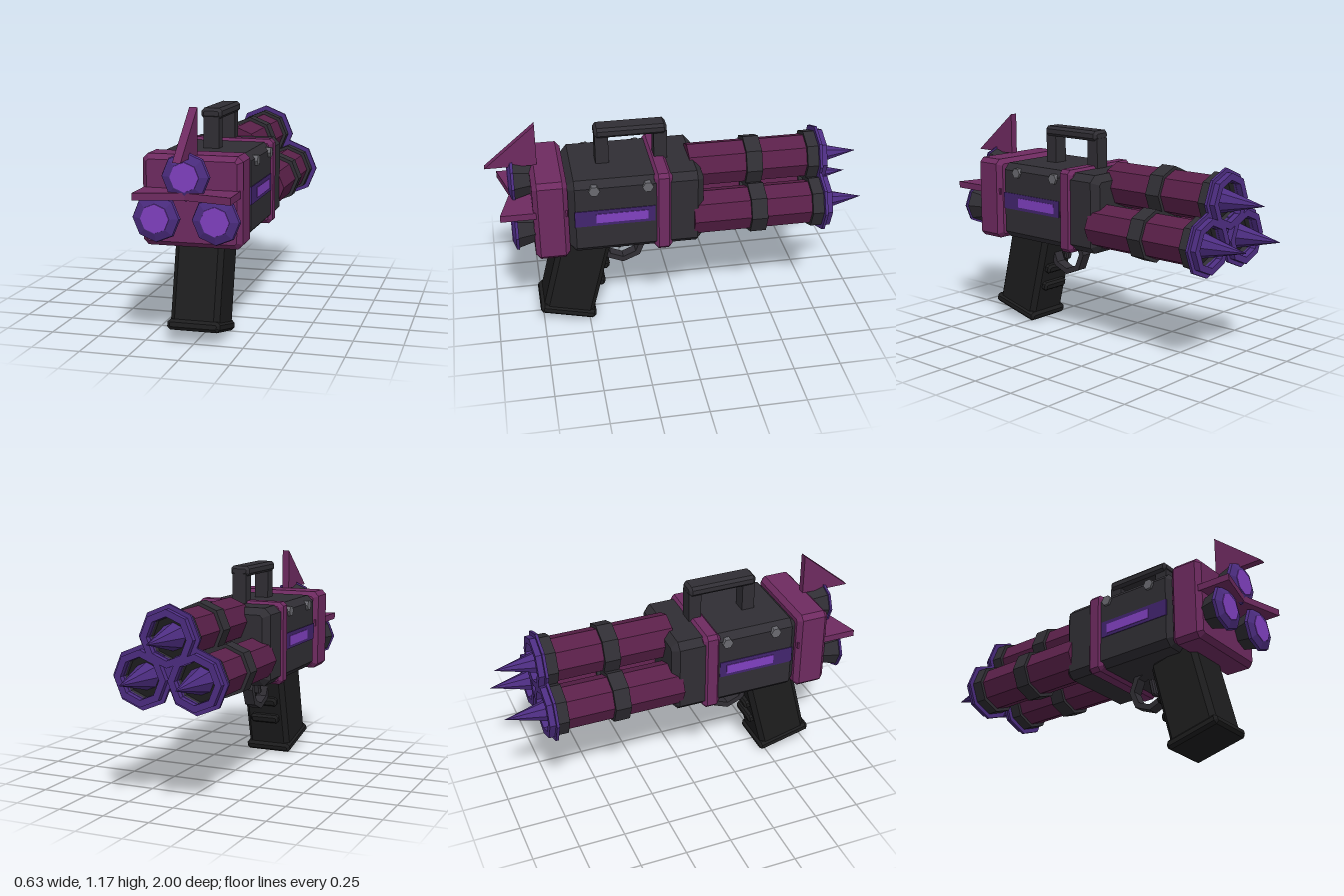
import * as THREE from 'three';

const mat = (color) => new THREE.MeshStandardMaterial({ color, flatShading: true });

export function createModel() {
  const root = new THREE.Group();
  const dark = mat(0x302e34), black = mat(0x1d1d1e), pink = mat(0x6e2a60), barrelPink = mat(0x5a2049);
  const violet = mat(0x4d2d82), glow = mat(0x8040c0), panelViolet = mat(0x42246e), steel = mat(0x6a6a70);

  const add = (name, geo, m, x = 0, y = 0, z = 0, parent = root) => {
    const mesh = new THREE.Mesh(geo, m);
    mesh.name = name;
    mesh.position.set(x, y, z);
    parent.add(mesh);
    return mesh;
  };

  // Box with every edge chamfered by c, centred on the origin
  const chamferBox = (w, h, d, c) => {
    const a = w / 2, b = h / 2;
    const pts = [[a, c - b], [a, b - c], [a - c, b], [c - a, b], [-a, b - c], [-a, c - b], [c - a, -b], [a - c, -b]];
    const shape = new THREE.Shape(pts.map(([x, y]) => new THREE.Vector2(x, y)));
    const geo = new THREE.ExtrudeGeometry(shape, {
      depth: d - 2 * c, bevelThickness: c, bevelSize: c, bevelOffset: -c, bevelSegments: 1,
    });
    return geo.translate(0, 0, c - d / 2);
  };

  // Eight-sided solid along z: radius r0 at z0, r1 at z1 (z1 > z0)
  const octagon = (r0, r1, z0, z1) =>
    new THREE.CylinderGeometry(r1, r0, z1 - z0, 8).rotateX(Math.PI / 2).translate(0, 0, (z0 + z1) / 2);

  // Eight-sided ring along z
  const octPoints = (r) => Array.from({ length: 8 }, (_, i) =>
    new THREE.Vector2(r * Math.cos(i * Math.PI / 4), r * Math.sin(i * Math.PI / 4)));
  const octRing = (r, hole, z0, z1) => {
    const shape = new THREE.Shape(octPoints(r));
    shape.holes.push(new THREE.Path(octPoints(hole)));
    return new THREE.ExtrudeGeometry(shape, { depth: z1 - z0, bevelEnabled: false }).translate(0, 0, z0);
  };

  // Body with its two pink collars
  add('body', chamferBox(0.48, 0.42, 0.71, 0.035), dark, 0, 0.723, 0.24);
  add('bodyBand', chamferBox(0.5, 0.45, 0.095, 0.02), pink, 0, 0.722, 0.1);
  add('endBlock', chamferBox(0.5, 0.45, 0.18, 0.025), pink, 0, 0.722, 0.684);

  // Side panels and bolts
  for (const s of [-1, 1]) {
    add('sidePanel', new THREE.BoxGeometry(0.01, 0.09, 0.42), panelViolet, s * 0.239, 0.725, 0.355);
    add('sideLight', new THREE.BoxGeometry(0.01, 0.052, 0.272), glow, s * 0.242, 0.723, 0.318);
    for (const z of [0.46, 0.183])
      add('bolt', new THREE.CylinderGeometry(0.029, 0.029, 0.045, 6).rotateZ(Math.PI / 2), steel, s * 0.232, 0.888, z);
  }

  // Three identical barrels, each with a nozzle at the other end
  for (const [x, y] of [[0, 0.86], [-0.148, 0.655], [0.148, 0.655]]) {
    const unit = new THREE.Group();
    unit.name = 'barrelUnit';
    unit.position.set(x, y, 0);
    root.add(unit);
    const put = (name, geo, m) => add(name, geo, m, 0, 0, 0, unit);
    put('barrel', octagon(0.12, 0.12, -0.72, -0.062), barrelPink);
    put('barrelBand', octagon(0.139, 0.139, -0.45, -0.365), dark);
    put('muzzleBand', octRing(0.139, 0.105, -0.76, -0.697), dark);
    put('muzzleBore', octagon(0.118, 0.118, -0.73, -0.715), black);
    put('muzzleFlange', octRing(0.165, 0.105, -0.772, -0.757), violet);
    put('muzzleRing', octRing(0.143, 0.107, -0.803, -0.772), violet);
    put('spike', octagon(0, 0.07, -1, -0.73), violet);
    put('nozzleCone', octagon(0.08, 0.11, 0.76, 0.862), dark);
    put('nozzleRim', octagon(0.12, 0.115, 0.855, 0.87), violet);
    put('nozzleFace', octagon(0.115, 0.075, 0.87, 0.885), violet);
    put('nozzleLight', octagon(0.073, 0.071, 0.88, 0.888), glow);
  }

  // Upright triangular fin
  const fin = new THREE.Shape([[0.73, 0.945], [1, 0.945], [0.73, 1.172]].map(([z, y]) => new THREE.Vector2(-z, y)));
  add('topFin', new THREE.ExtrudeGeometry(fin, { depth: 0.04, bevelEnabled: false })
    .translate(0, 0, -0.02).rotateY(Math.PI / 2), pink);

  // Flat plate with a notched leading edge
  const plate = new THREE.Shape([[-0.24, 0.6], [0.24, 0.6], [0.24, 0.942], [0, 0.88], [-0.24, 0.942]]
    .map(([x, z]) => new THREE.Vector2(x, z)));
  add('sideFin', new THREE.ExtrudeGeometry(plate, { depth: 0.036, bevelEnabled: false })
    .rotateX(Math.PI / 2), pink, 0, 0.785, 0);

  // Carry handle
  add('handleBar', chamferBox(0.108, 0.055, 0.38, 0.015), dark, 0, 1.108, 0.24);
  for (const z of [0.392, 0.084])
    add('handlePost', new THREE.BoxGeometry(0.08, 0.19, 0.07), dark, 0, 1.0, z);

  // Raked grip, with base plate and finger ridges
  const grip = new THREE.Group();
  grip.name = 'grip';
  grip.position.set(0, 0.066, 0.615);
  grip.rotation.x = -0.245;
  root.add(grip);
  add('gripCore', chamferBox(0.25, 0.5, 0.28, 0.025), black, 0, 0.24, 0, grip);
  add('gripBase', chamferBox(0.27, 0.053, 0.31, 0.015), black, 0, 0, 0, grip);
  for (const y of [0.19, 0.3])
    add('fingerRidge', chamferBox(0.17, 0.05, 0.05, 0.012), black, 0, y, -0.145, grip);

  // Trigger and its guard
  add('triggerGuard', octRing(0.13, 0.098, -0.03, 0.03).rotateY(Math.PI / 2), dark, 0, 0.43, 0.294);
  const trigger = add('trigger', chamferBox(0.04, 0.1, 0.03, 0.008), dark, 0, 0.432, 0.304);
  trigger.rotation.x = -0.2;

  return root;
}
